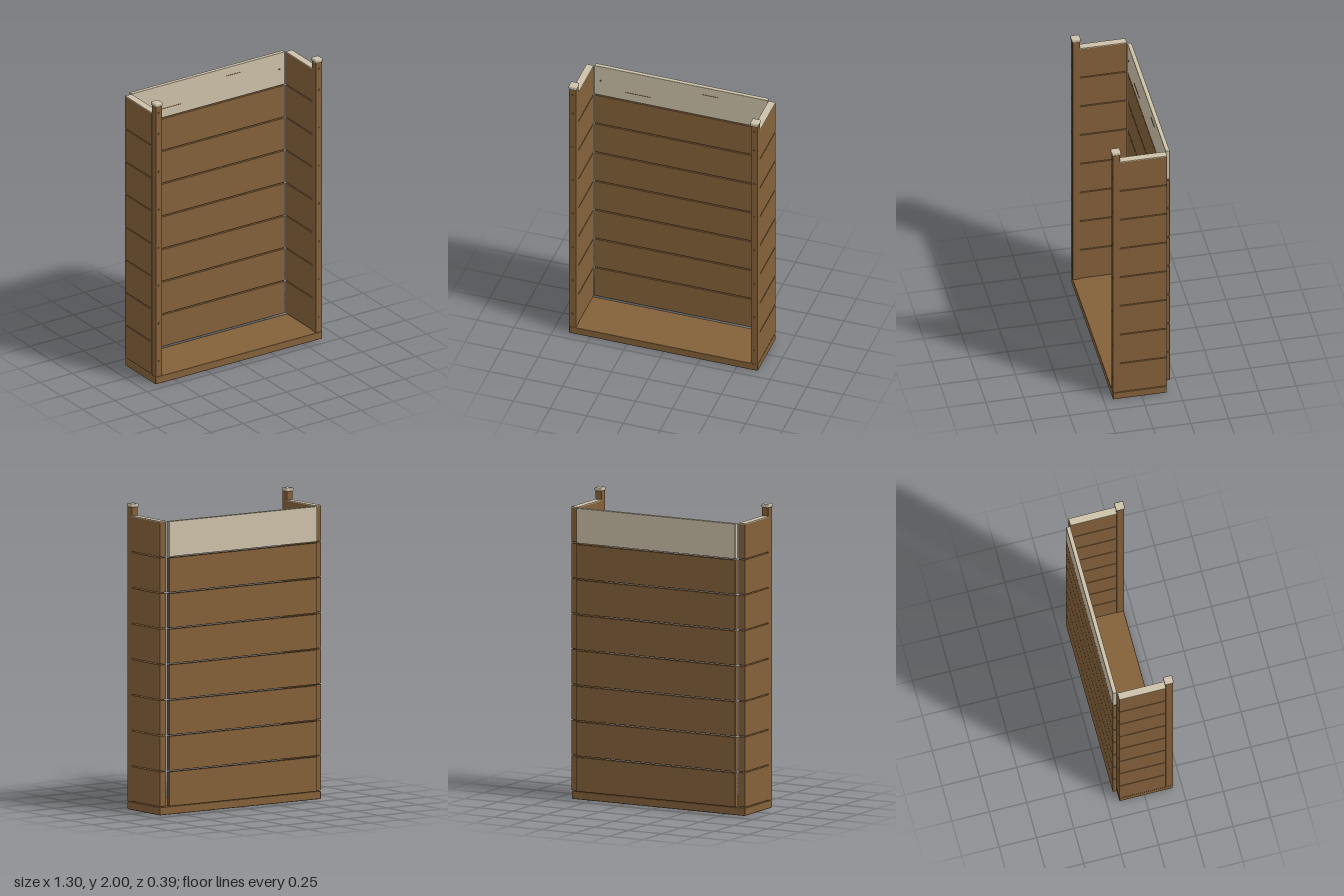
import * as THREE from 'three';
import { RoundedBoxGeometry } from 'three/addons/geometries/RoundedBoxGeometry.js';

export function createModel() {
  const model = new THREE.Group();
  model.name = 'plankCabinet';

  const material = (name, color) => {
    const m = new THREE.MeshStandardMaterial({ color });
    m.name = name;
    return m;
  };
  const wood = material('brown wood', 0x84613a);
  const pale = material('pale paint', 0xcdc1a9);

  // Board given by its limits on each axis; bevel softens the edges
  function board(name, mat, [x0, x1], [y0, y1], [z0, z1], bevel = 0) {
    const size = [x1 - x0, y1 - y0, z1 - z0];
    const geometry = bevel
      ? new RoundedBoxGeometry(...size, 1, bevel)
      : new THREE.BoxGeometry(...size);
    const mesh = new THREE.Mesh(geometry, mat);
    mesh.name = name;
    mesh.position.set((x0 + x1) / 2, (y0 + y1) / 2, (z0 + z1) / 2);
    model.add(mesh);
  }
  const span = (s, a, b) => (s > 0 ? [a, b] : [-b, -a]);

  function nail(x, y, z) {
    const mesh = new THREE.Mesh(new THREE.CylinderGeometry(0.006, 0.007, 0.006, 8), wood);
    mesh.name = 'nail';
    mesh.rotation.x = Math.PI / 2;
    mesh.position.set(x, y, z);
    model.add(mesh);
  }

  // Base board
  board('base', wood, [-0.645, 0.645], [0, 0.052], [-0.167, 0.19], 0.005);

  // Stacked planks of the back and both sides, with open seams
  const rows = 8, bottom = 0.058, pitch = 0.233, gap = 0.007;
  for (let i = 0; i < rows; i++) {
    const y0 = bottom + i * pitch;
    const y1 = y0 + pitch - gap;
    const top = i === rows - 1;
    board('backPlank', top ? pale : wood, [-0.592, 0.592], [y0, top ? 1.92 : y1], [-0.198, -0.17], 0.003);
    for (const s of [-1, 1]) {
      board('sidePlank', wood, span(s, 0.597, 0.645), [y0, top ? 1.915 : y1], [-0.168, 0.142]);
    }
  }

  for (const s of [-1, 1]) {
    // Painted top edge of the side wall
    board('sideTopEdge', pale, span(s, 0.597, 0.645), [1.915, 1.921], [-0.168, 0.142]);
    // Front post and its cap
    board('frontPost', wood, span(s, 0.596, 0.644), [0.052, 1.978], [0.142, 0.191], 0.003);
    board('postCap', pale, span(s, 0.592, 0.648), [1.976, 2], [0.136, 0.197], 0.007);
    // Nails along the post and on the top plank
    for (const y of [0.16, 0.43, 0.7, 0.97, 1.24, 1.51, 1.78, 1.93]) nail(s * 0.62, y, 0.192);
    nail(s * 0.55, 1.805, -0.17);
  }

  // Hairline cracks in the painted plank
  board('crack', wood, [0.14, 0.25], [1.859, 1.863], [-0.17, -0.168]);
  board('crack', wood, [-0.38, -0.21], [1.751, 1.755], [-0.17, -0.168]);

  return model;
}
